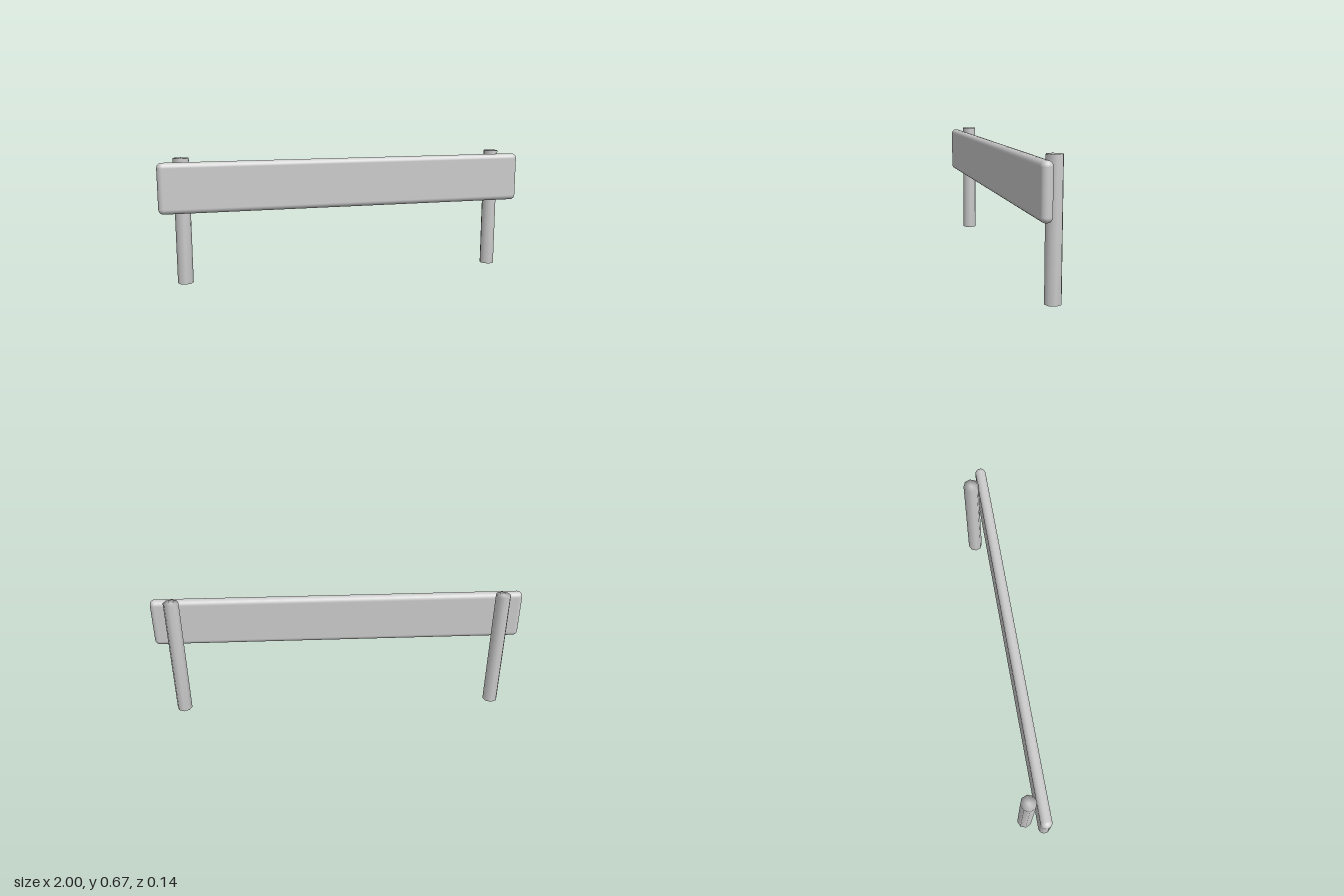
import * as THREE from 'three';
import { mergeVertices } from 'three/addons/utils/BufferGeometryUtils.js';
import { RoundedBoxGeometry } from 'three/addons/geometries/RoundedBoxGeometry.js';

const POST_HEIGHT = 0.667;
const POST_RADIUS = 0.041;

// Eight-sided post with normals shared between the side and the caps
function postGeometry() {
  const geometry = new THREE.CylinderGeometry(POST_RADIUS, POST_RADIUS, POST_HEIGHT, 8);
  geometry.deleteAttribute('normal');
  geometry.deleteAttribute('uv');
  const merged = mergeVertices(geometry);
  merged.computeVertexNormals();
  return merged;
}

export function createModel() {
  const group = new THREE.Group();
  group.name = 'guardRail';
  const grey = new THREE.MeshStandardMaterial({ name: 'light grey', color: 0xcccccc });

  // Horizontal board with rounded edges
  const board = new THREE.Mesh(new RoundedBoxGeometry(2, 0.266, 0.057, 3, 0.027), grey);
  board.name = 'board';
  board.position.set(0, 0.519, 0.041);
  group.add(board);

  // Posts behind the board
  const geometry = postGeometry();
  for (const side of [-1, 1]) {
    const post = new THREE.Mesh(geometry, grey);
    post.name = side > 0 ? 'leftPost' : 'rightPost';
    post.position.set(side * 0.876, POST_HEIGHT / 2, -0.027);
    group.add(post);
  }
  return group;
}
